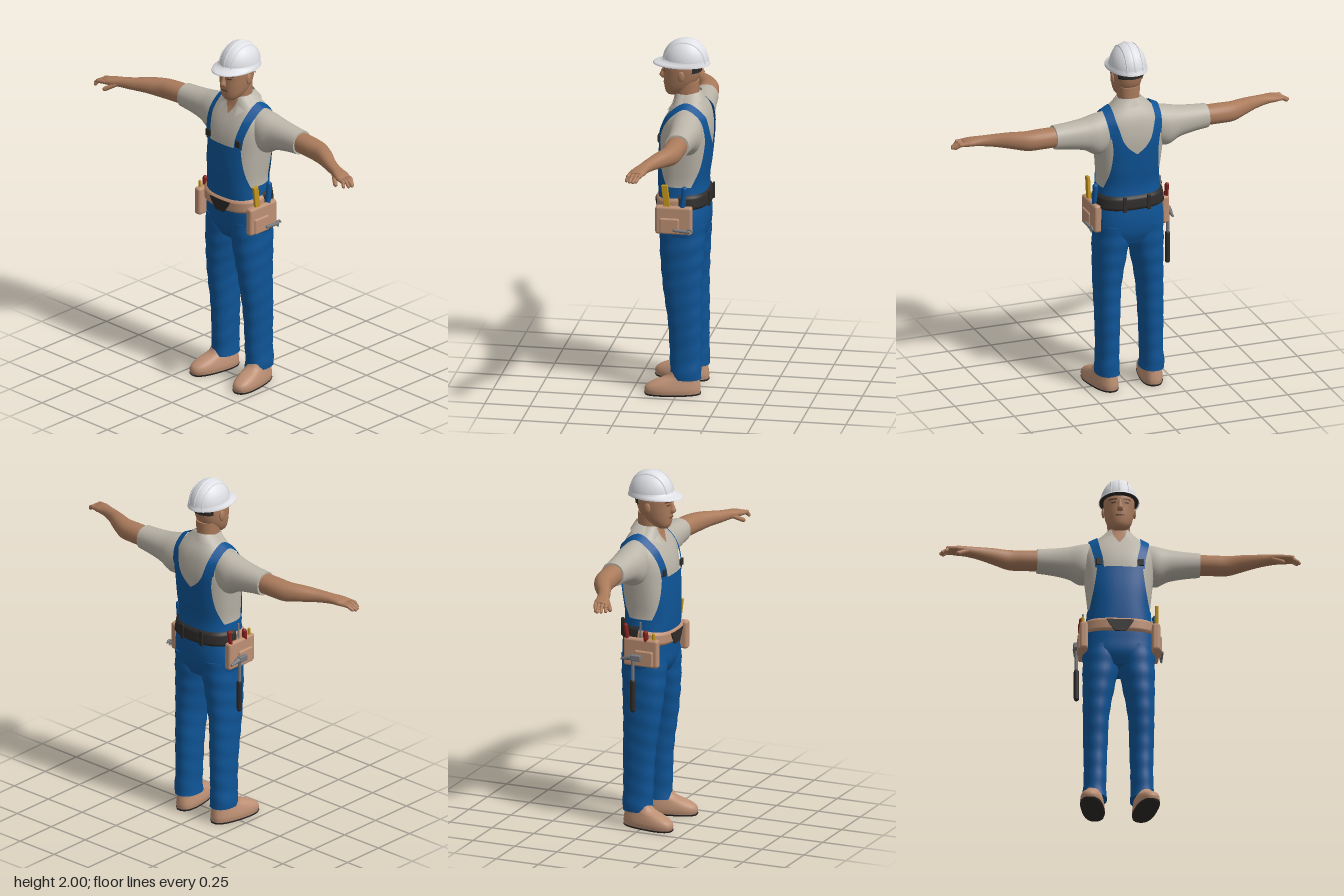
import * as THREE from 'three';
import { mergeVertices } from 'three/addons/utils/BufferGeometryUtils.js';
import { RoundedBoxGeometry } from 'three/addons/geometries/RoundedBoxGeometry.js';

const mat = (name, color) => {
  const m = new THREE.MeshStandardMaterial({ color, side: THREE.DoubleSide });
  m.name = name;
  return m;
};

// Smooth interpolation of rows [t, ...values], t ascending
function spline(rows) {
  const size = rows[0].length - 1;
  const it = new THREE.CubicInterpolant(rows.map(r => r[0]), rows.flatMap(r => r.slice(1)), size, new Float32Array(size));
  const f = t => Array.from(it.evaluate(t));
  f.range = [rows[0][0], rows[rows.length - 1][0]];
  return f;
}
// Symmetric body rows [y, half width, front z, back z]
const body = rows => spline(rows.map(([y, w, f, b]) => [y, -w, w, b, f]));

// Point on a superellipse cross-section [a0, a1, b0, b1]
function ring([a0, a1, b0, b1], th, n, off = 0, k = 1) {
  const p = v => Math.sign(v) * Math.abs(v) ** (2 / n);
  return [(a0 + a1) / 2 + ((a1 - a0) / 2 + off) * k * p(Math.cos(th)),
    (b0 + b1) / 2 + ((b1 - b0) / 2 + off) * k * p(Math.sin(th))];
}

function buffer(pos, idx) {
  const g = new THREE.BufferGeometry();
  g.setAttribute('position', new THREE.Float32BufferAttribute(pos, 3));
  g.setIndex(idx);
  g.computeVertexNormals();
  return g;
}

// Closed skin through cross-sections along y (a = x, b = z) or x (a = y, b = z)
function loft(f, { axis = 'y', range = f.range, steps = 24, seg = 32, n = 2.2, off = 0, fold = 0, caps = true } = {}) {
  const pos = [], idx = [], flip = axis === 'x';
  const put = (t, a, b) => pos.push(...(flip ? [t, a, b] : [a, t, b]));
  const tri = (a, b, c) => idx.push(...(flip ? [a, c, b] : [a, b, c]));
  const row = i => {
    const t = range[0] + (range[1] - range[0]) * i / steps, s = f(t);
    for (let j = 0; j < seg; j++) {
      const th = j / seg * Math.PI * 2;
      put(t, ...ring(s, th, n, off, 1 + fold * Math.sin(t * 62 + 2 * Math.sin(th))));
    }
    return [t, (s[0] + s[1]) / 2, (s[2] + s[3]) / 2];
  };
  for (let i = 0; i <= steps; i++) row(i);
  for (let i = 0; i < steps; i++) for (let j = 0; j < seg; j++) {
    const a = i * seg + j, b = i * seg + (j + 1) % seg;
    tri(a, a + seg, b); tri(b, a + seg, b + seg);
  }
  if (caps) for (const i of [0, steps]) {
    const s = pos.length / 3;
    put(...row(i));
    for (let j = 0; j < seg; j++) {
      const a = s + j, b = s + (j + 1) % seg;
      i ? tri(s + seg, b, a) : tri(s + seg, a, b);
    }
  }
  return buffer(pos, idx);
}

// Open sheet from f(u, v)
function sheet(f, nu = 10, nv = 16) {
  const pos = [], idx = [];
  for (let i = 0; i <= nv; i++) for (let j = 0; j <= nu; j++) pos.push(...f(j / nu, i / nv));
  for (let i = 0; i < nv; i++) for (let j = 0; j < nu; j++) {
    const a = i * (nu + 1) + j, c = a + nu + 1;
    idx.push(a, a + 1, c, a + 1, c + 1, c);
  }
  return buffer(pos, idx);
}

// Depth of a body's front (1) or back (-1) surface at x, y
function depth(prof, n, x, y, side, off) {
  const [, w, b, f] = prof(y), q = Math.min(1, Math.abs(x) / (w + off));
  return (b + f) / 2 + side * ((f - b) / 2 + off) * (1 - q ** n) ** (1 / n);
}
// Thin panel hugging a body; rows are [y, x from, x to]
function panel(prof, n, rows, side = 1, off = 0.006) {
  const f = spline(rows), [y0, y1] = f.range;
  return sheet((u, v) => {
    const y = y0 + (y1 - y0) * v, [a, b] = f(y), x = (a + (b - a) * u) * side;
    return [x, y, depth(prof, n, x, y, side, off)];
  }, 20, 20);
}

function mirrored(geo) {
  const g = geo.clone().scale(-1, 1, 1), ix = g.index.array;
  for (let i = 0; i < ix.length; i += 3) [ix[i], ix[i + 1]] = [ix[i + 1], ix[i]];
  return g;
}

export function createModel() {
  const root = new THREE.Group();
  root.name = 'worker';
  const shirt = mat('shirt grey', 0xbbb5a9), denim = mat('overall blue', 0x0e5496), skin = mat('skin', 0xab7b5c),
    leather = mat('tan leather', 0xbd9074), shell = mat('helmet white', 0xdfe0e5), dark = mat('dark rubber', 0x2e2b29),
    yellow = mat('tool yellow', 0xc4961c), red = mat('tool red', 0x84201c), metal = mat('steel', 0x77787c), brown = mat('brow brown', 0x5e4030);
  const add = (name, geo, m) => {
    const mesh = new THREE.Mesh(geo, m);
    mesh.name = name;
    root.add(mesh);
  };
  const pair = (name, geo, m) => { add(name + 'Left', geo, m); add(name + 'Right', mirrored(geo), m); };
  const rod = (r, a, b, r2 = r) => {
    const A = new THREE.Vector3(...a), B = new THREE.Vector3(...b), d = B.clone().sub(A);
    const g = r2 === r ? new THREE.CapsuleGeometry(r, d.length(), 4, 12) : new THREE.CylinderGeometry(r2, r, d.length(), 12);
    g.applyQuaternion(new THREE.Quaternion().setFromUnitVectors(new THREE.Vector3(0, 1, 0), d.normalize()));
    const c = A.add(B).multiplyScalar(0.5);
    return g.translate(c.x, c.y, c.z);
  };
  const box = (w, h, d, x, y, z, r = 0.006) => mergeVertices(new RoundedBoxGeometry(w, h, d, 2, r)).translate(x, y, z);
  const blob = (sx, sy, sz, x, y, z) => new THREE.SphereGeometry(1, 24, 16).scale(sx, sy, sz).translate(x, y, z);

  // Torso: shirt above, overalls below
  const N = 2.5;
  const torso = body([[0.86, 0.17, 0.07, -0.12], [0.92, 0.192, 0.1, -0.145], [1, 0.192, 0.108, -0.155], [1.1, 0.18, 0.115, -0.15],
    [1.2, 0.17, 0.12, -0.142], [1.3, 0.178, 0.12, -0.155], [1.4, 0.188, 0.113, -0.165], [1.48, 0.195, 0.105, -0.17], [1.54, 0.195, 0.088, -0.165],
    [1.59, 0.175, 0.065, -0.155], [1.63, 0.135, 0.045, -0.138], [1.665, 0.09, 0.035, -0.115], [1.69, 0.065, 0.03, -0.105]]);
  add('shirtBody', loft(torso, { range: [1.17, 1.69], n: N, seg: 48 }), shirt);
  add('overallHips', loft(torso, { range: [0.86, 1.19], n: N, seg: 48, off: 0.005 }), denim);
  add('overallBib', panel(torso, N, [[1.17, -0.17, 0.17], [1.22, -0.158, 0.158], [1.3, -0.142, 0.142], [1.38, -0.13, 0.13], [1.425, -0.125, 0.125]]), denim);
  pair('overallBack', panel(torso, N, [[1.17, 0, 0.17], [1.25, 0, 0.15], [1.32, 0, 0.138], [1.4, 0, 0.132], [1.43, 0.04, 0.132],
    [1.48, 0.078, 0.138], [1.55, 0.1, 0.15], [1.59, 0.112, 0.156]], -1, 0.007), denim);

  // Shoulder straps with clips
  const strapEdge = dx => new THREE.CatmullRomCurve3([
    ...[[0.112, 1.42], [0.118, 1.48], [0.13, 1.54], [0.138, 1.59]].map(([x, y]) => [x + dx, y, depth(torso, N, x + dx, y, 1, 0.012)]),
    [0.14 + dx, 1.65 - dx * 0.5, -0.045],
    ...[[0.136, 1.59], [0.13, 1.54], [0.125, 1.5]].map(([x, y]) => [x + dx, y, depth(torso, N, x + dx, y, -1, 0.01)]),
  ].map(p => new THREE.Vector3(...p)));
  const inner = strapEdge(-0.023), outer = strapEdge(0.023);
  pair('strap', sheet((u, v) => inner.getPoint(v).lerp(outer.getPoint(v), u).toArray(), 4, 40), denim);
  pair('strapClip', box(0.036, 0.04, 0.012, 0.113, 1.455, depth(torso, N, 0.113, 1.455, 1, 0.012), 0.004), dark);

  // Shirt collar, open neck and placket
  add('collar', sheet((u, v) => {
    const p = (u * 2 - 1) * 2.62, s = Math.abs(u * 2 - 1), k = THREE.MathUtils.lerp;
    return [k(0.066, 0.115, v) * Math.sin(p), k(1.705 - 0.035 * s * s, 1.665 - 0.07 * s ** 3, v), -0.04 - k(0.07, 0.088 + 0.04 * s, v) * Math.cos(p)];
  }, 40, 4), shirt);
  add('openNeck', panel(torso, N, [[1.595, -0.003, 0.003], [1.64, -0.03, 0.03], [1.68, -0.042, 0.042]], 1, 0.004), skin);
  add('placket', panel(torso, N, [[1.42, -0.016, 0.012], [1.6, -0.014, 0.014]], 1, 0.003), shirt);

  // Sleeves, arms and hands
  pair('sleeve', loft(spline([[0.11, 1.43, 1.63, -0.13, 0.03], [0.2, 1.39, 1.618, -0.145, 0.04], [0.27, 1.425, 1.603, -0.137, 0.026],
    [0.36, 1.445, 1.592, -0.127, 0.016], [0.445, 1.455, 1.586, -0.12, 0.012]]), { axis: 'x' }), shirt);
  pair('arm', loft(spline([[0.42, 1.468, 1.577, -0.11, 0.002], [0.52, 1.465, 1.575, -0.107, 0.008], [0.6, 1.463, 1.57, -0.094, 0.014],
    [0.68, 1.474, 1.563, -0.055, 0.042], [0.76, 1.481, 1.549, -0.003, 0.074], [0.82, 1.485, 1.54, 0.024, 0.095], [0.86, 1.487, 1.534, 0.033, 0.115],
    [0.9, 1.487, 1.526, 0.04, 0.128], [0.92, 1.488, 1.518, 0.05, 0.124]]), { axis: 'x', steps: 36, seg: 24 }), skin);
  [[0.052, 0.078, 0.972], [0.074, 0.092, 0.984], [0.096, 0.112, 0.977], [0.118, 0.132, 0.958]].forEach(([z0, z1, x], i) => {
    pair('knuckle' + i, rod(0.0115, [0.895, 1.507, z0], [0.94, 1.502, (z0 + z1) / 2]), skin);
    pair('fingertip' + i, rod(0.0095, [0.94, 1.502, (z0 + z1) / 2], [x - 0.007, 1.482, z1]), skin);
  });
  pair('thumb', rod(0.0125, [0.835, 1.503, 0.09], [0.885, 1.472, 0.128]), skin);

  // Trouser legs
  pair('trouserLeg', loft(spline([[0.09, 0.062, 0.195, -0.13, 0.042], [0.12, 0.066, 0.196, -0.13, 0.04], [0.2, 0.066, 0.19, -0.128, 0.042],
    [0.4, 0.06, 0.192, -0.13, 0.052], [0.6, 0.05, 0.195, -0.13, 0.08], [0.8, 0.014, 0.197, -0.14, 0.1], [0.88, -0.002, 0.197, -0.145, 0.103],
    [0.97, -0.005, 0.19, -0.15, 0.105]]), { steps: 60, fold: 0.015 }), denim);

  // Boots turned outwards
  const boot = body([[0.008, 0.06, 0.22, -0.08], [0.03, 0.063, 0.225, -0.082], [0.055, 0.06, 0.212, -0.08], [0.08, 0.054, 0.165, -0.076],
    [0.1, 0.05, 0.11, -0.074], [0.14, 0.047, 0.075, -0.07]]);
  const place = g => g.rotateY(0.18).translate(0.133, 0, -0.045);
  pair('boot', place(loft(boot, { n: 2.5 })), leather);
  const sole = body([[0, 0.06, 0.222, -0.082], [0.009, 0.064, 0.227, -0.084]]);
  pair('sole', place(loft(sole, { n: 2.5, steps: 1 })), dark);

  // Tool belt: leather front, dark back, buckle
  const belt = (from, to, y0, y1, sag) => sheet((u, v) => {
    const th = from + (to - from) * u, y = y0 + (y1 - y0) * v - sag * Math.sin(th);
    const [x, z] = ring(torso(y), th, N, 0.005 + 0.012 * Math.min(1, 8 * Math.min(v, 1 - v)));
    return [x, y, z];
  }, 48, 8);
  add('beltFront', belt(0, Math.PI, 1.06, 1.135, 0.022), leather);
  add('beltBack', belt(Math.PI, Math.PI * 2, 1.07, 1.15, 0), dark);
  pair('beltLoop', box(0.022, 0.09, 0.012, 0.07, 1.11, -0.163, 0.004), dark);
  const plate = new THREE.Shape([[-0.075, 1.1], [-0.06, 1.072], [-0.03, 1.032], [0.03, 1.032], [0.06, 1.072], [0.075, 1.1]].map(p => new THREE.Vector2(...p)));
  add('buckle', new THREE.ExtrudeGeometry(plate, { depth: 0.009, bevelEnabled: false }).translate(0, 0, 0.125), dark);

  // Side pouches
  pair('pouch', box(0.045, 0.16, 0.205, 0.197, 1.015, 0.008, 0.015), leather);
  pair('pouchPocket', box(0.025, 0.09, 0.11, 0.217, 0.985, 0.03, 0.01), leather);

  // Tools on the left hip
  add('foldingRule', box(0.018, 0.17, 0.036, 0, 0, 0, 0.004).rotateX(0.12).translate(0.202, 1.13, 0.05), yellow);
  add('chiselHandle', rod(0.015, [0.2, 1.09, -0.04], [0.2, 1.195, -0.05]), denim);
  add('wrench', rod(0.009, [0.235, 0.962, -0.08], [0.235, 0.967, 0]), metal);
  add('wrenchJaw', new THREE.TorusGeometry(0.014, 0.006, 8, 16, 4.7).rotateY(Math.PI / 2).translate(0.236, 0.962, -0.085), metal);

  // Tools on the right hip
  add('screwdriverHandle', rod(0.014, [-0.205, 1.06, 0.04], [-0.207, 1.13, 0.035]), red);
  add('cutterHandle', rod(0.012, [-0.205, 1.07, -0.07], [-0.205, 1.16, -0.085]), red);
  add('pencil', rod(0.008, [-0.2, 1.06, 0.08], [-0.202, 1.125, 0.08]), yellow);
  add('file', rod(0.006, [-0.196, 1.05, 0], [-0.196, 1.18, 0]), metal);
  add('hammerGrip', rod(0.0145, [-0.23, 0.69, -0.03], [-0.23, 0.85, -0.03]), dark);
  add('hammerShaft', rod(0.009, [-0.23, 0.84, -0.03], [-0.233, 0.99, -0.03]), metal);
  add('hammerHead', box(0.03, 0.034, 0.06, -0.234, 0.99, -0.01), metal);
  add('hammerClaw', rod(0.016, [-0.234, 0.99, -0.04], [-0.234, 0.975, -0.1], 0.006), metal);

  // Neck and head
  add('neck', loft(body([[1.6, 0.058, 0.02, -0.1], [1.68, 0.06, 0.035, -0.095], [1.76, 0.064, 0.04, -0.095]])), skin);
  const head = body([[1.678, 0.03, 0.078, 0.02], [1.692, 0.048, 0.088, -0.01], [1.72, 0.065, 0.095, -0.05], [1.76, 0.076, 0.099, -0.085],
    [1.8, 0.082, 0.1, -0.1], [1.85, 0.085, 0.102, -0.105], [1.89, 0.08, 0.09, -0.1]]);
  add('head', loft(head), skin);
  add('nose', loft(spline([[1.766, -0.014, 0.014, 0.08, 0.112], [1.778, -0.017, 0.017, 0.08, 0.124], [1.8, -0.012, 0.012, 0.08, 0.117],
    [1.835, -0.009, 0.009, 0.08, 0.103]]), { seg: 16, steps: 10 }), skin);
  pair('ear', blob(0.009, 0.03, 0.019, 0.085, 1.8, -0.01), skin);
  pair('brow', panel(head, 2.2, [[1.832, 0.016, 0.06], [1.84, 0.018, 0.056]], 1, 0.003), brown);
  pair('eye', panel(head, 2.2, [[1.812, 0.025, 0.046], [1.82, 0.022, 0.05]], 1, 0.002), brown);
  add('mouth', panel(head, 2.2, [[1.738, -0.022, 0.022], [1.745, -0.03, 0.03]], 1, 0.003), brown);

  // Hard hat with ridges, brim and inner harness
  add('helmetDome', new THREE.SphereGeometry(1, 40, 16, 0, Math.PI * 2, 0, Math.PI / 2).scale(0.1, 0.132, 0.126).translate(0, 1.865, -0.022), shell);
  const ridge = (w, h, d, x) => new THREE.SphereGeometry(1, 24, 12, 0, Math.PI * 2, 0, Math.PI / 2).scale(w, h, d).translate(x, 1.865, -0.022);
  add('helmetRidge', ridge(0.034, 0.135, 0.129, 0), shell);
  pair('helmetSideRidge', ridge(0.01, 0.122, 0.116, 0.046), shell);
  const brim = body([[1.852, 0.111, 0.16, -0.156], [1.86, 0.11, 0.156, -0.154], [1.872, 0.103, 0.118, -0.149], [1.884, 0.098, 0.102, -0.146]]);
  add('helmetBrim', loft(brim, { n: 2, seg: 48, steps: 8, caps: false }), shell);
  add('helmetLining', loft(body([[1.858, 0.106, 0.145, -0.15], [1.861, 0.106, 0.145, -0.15]]), { n: 2, steps: 1 }), dark);
  add('headHarness', sheet((u, v) => {
    const y = 1.815 + 0.045 * v, [x, z] = ring(head(y), Math.PI * (1.2 + 0.6 * u), 2.2, 0.006);
    return [x, y, z];
  }, 20, 3), dark);

  return root;
}
